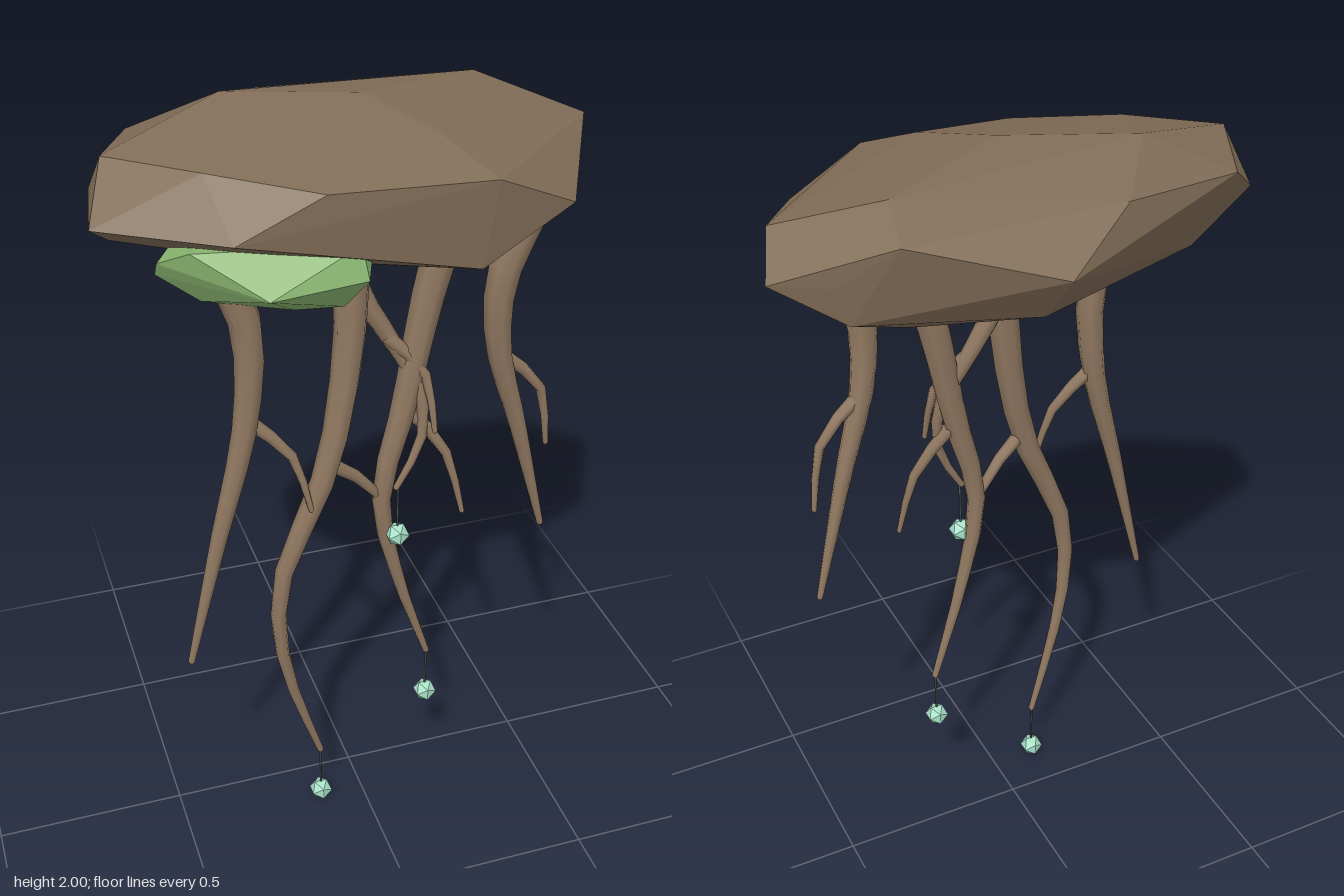
import * as THREE from 'three';
import { ConvexGeometry } from 'three/addons/geometries/ConvexGeometry.js';

const mat = (color, flatShading = false) => new THREE.MeshStandardMaterial({ color, flatShading });
const v = (p) => new THREE.Vector3(...p);

export function createModel() {
  const group = new THREE.Group();
  const rockMat = mat(0x806c56, true);
  const mossMat = mat(0x88b470, true);
  const rootMat = mat(0x8f7760);
  const dropMat = mat(0xa8e0c8, true);
  const threadMat = mat(0x4a5a55);

  const add = (name, geometry, material) => {
    const mesh = new THREE.Mesh(geometry, material);
    mesh.name = name;
    group.add(mesh);
    return mesh;
  };

  // Faceted boulder
  add('rock', new ConvexGeometry([
    // crown
    [0.03, 2.0, 0.02], [-0.27, 1.995, -0.1], [0.35, 1.97, -0.13], [-0.38, 1.925, 0.18], [0.14, 1.96, 0.21],
    [-0.14, 1.93, -0.28], [0.37, 1.91, -0.24],
    // shoulder
    [-0.565, 1.925, 0.02], [-0.47, 1.9, -0.19], [0.57, 1.895, 0.02], [-0.15, 1.905, 0.325], [0.225, 1.9, 0.35],
    // waist
    [-0.62, 1.81, 0.14], [-0.58, 1.81, -0.09], [-0.35, 1.81, 0.315], [0.42, 1.81, 0.315],
    [0.615, 1.81, -0.085], [0.03, 1.81, -0.35], [0.49, 1.81, -0.16],
    // underside
    [-0.56, 1.72, 0.0], [-0.4, 1.71, -0.13], [-0.15, 1.7, 0.2], [0.2, 1.69, 0.335], [0.42, 1.71, 0.1],
    [0.46, 1.715, -0.16], [0.29, 1.64, -0.09], [0.0, 1.645, -0.1], [0.05, 1.69, -0.26], [-0.28, 1.67, 0.08],
    [0.1, 1.65, 0.12],
  ].map(v)), rockMat);

  // Moss clump under the front
  add('moss', new ConvexGeometry([
    [-0.48, 1.71, 0.13], [-0.42, 1.755, 0.2], [-0.48, 1.67, 0.1], [-0.07, 1.775, 0.31], [-0.02, 1.74, 0.24],
    [-0.02, 1.68, 0.2], [-0.06, 1.7, 0.335], [-0.28, 1.68, 0.33], [-0.39, 1.615, 0.15], [-0.18, 1.565, 0.16],
    [-0.1, 1.62, 0.28], [-0.34, 1.61, 0.05], [-0.12, 1.63, 0.02], [-0.2, 1.74, 0.0], [-0.42, 1.72, 0.04],
  ].map(v)), mossMat);

  // Tube whose rings shrink along its length, closed by a rounded end
  const taper = (name, points, r0, r1, segments) => {
    const sides = 7;
    const curve = new THREE.CatmullRomCurve3(points.map(v));
    const geometry = new THREE.TubeGeometry(curve, segments, 1, sides);
    const pos = geometry.attributes.position;
    const p = new THREE.Vector3();
    for (let i = 0; i <= segments; i++) {
      const centre = curve.getPointAt(i / segments);
      const r = r0 + (r1 - r0) * (i / segments);
      for (let j = 0; j <= sides; j++) {
        const k = i * (sides + 1) + j;
        p.fromBufferAttribute(pos, k).sub(centre).multiplyScalar(r).add(centre);
        pos.setXYZ(k, p.x, p.y, p.z);
      }
    }
    add(name, geometry, rootMat);
    add(name + 'Tip', new THREE.SphereGeometry(r1, 7, 4), rootMat).position.copy(curve.getPointAt(1));
  };

  // Main roots
  [
    [[-0.35, 1.72, 0.13], [-0.285, 1.52, 0.13], [-0.295, 1.28, 0.13], [-0.38, 0.95, 0.14], [-0.465, 0.6, 0.14]],
    [[-0.03, 1.74, 0.12], [-0.04, 1.45, 0.13], [-0.1, 1.12, 0.145], [-0.22, 0.82, 0.15], [-0.235, 0.65, 0.15],
      [-0.205, 0.46, 0.14], [-0.12, 0.18, 0.12]],
    [[0.22, 1.74, 0.1], [0.16, 1.5, 0.1], [0.11, 1.25, 0.11], [0.05, 0.98, 0.115], [0.1, 0.72, 0.11], [0.19, 0.44, 0.1]],
    [[0.39, 1.75, 0.16], [0.325, 1.57, 0.16], [0.33, 1.39, 0.15], [0.4, 1.15, 0.135], [0.495, 0.81, 0.115]],
  ].forEach((points) => taper('root', points, 0.046, 0.009, 12));

  // Thinner root behind
  taper('thinRoot', [[-0.06, 1.72, 0.09], [0.01, 1.53, 0.09], [0.09, 1.39, 0.1], [0.14, 1.29, 0.12],
    [0.145, 1.15, 0.135], [0.08, 1.02, 0.14]], 0.032, 0.008, 10);

  // Side twigs
  [
    [[-0.295, 1.28, 0.13], [-0.19, 1.17, 0.15], [-0.15, 1.02, 0.17]],
    [[-0.1, 1.13, 0.145], [0.03, 1.01, 0.12], [0.08, 0.81, 0.1]],
    [[0.11, 1.23, 0.11], [0.21, 1.1, 0.13], [0.255, 0.92, 0.15]],
    [[0.335, 1.36, 0.145], [0.45, 1.25, 0.14], [0.485, 1.07, 0.13]],
    [[0.06, 1.43, 0.1], [0.15, 1.33, 0.13], [0.17, 1.18, 0.16]],
  ].forEach((points) => taper('twig', points, 0.019, 0.007, 4));

  // Droplets hanging on threads from root tips
  [[-0.12, 0.032, 0.12], [0.19, 0.297, 0.1], [0.085, 0.877, 0.14]].forEach(([x, y, z]) => {
    add('droplet', new THREE.IcosahedronGeometry(0.032, 0), dropMat).position.set(x, y, z);
    add('thread', new THREE.CylinderGeometry(0.003, 0.003, 0.148, 5), threadMat).position.set(x, y + 0.074, z);
  });

  return group;
}
